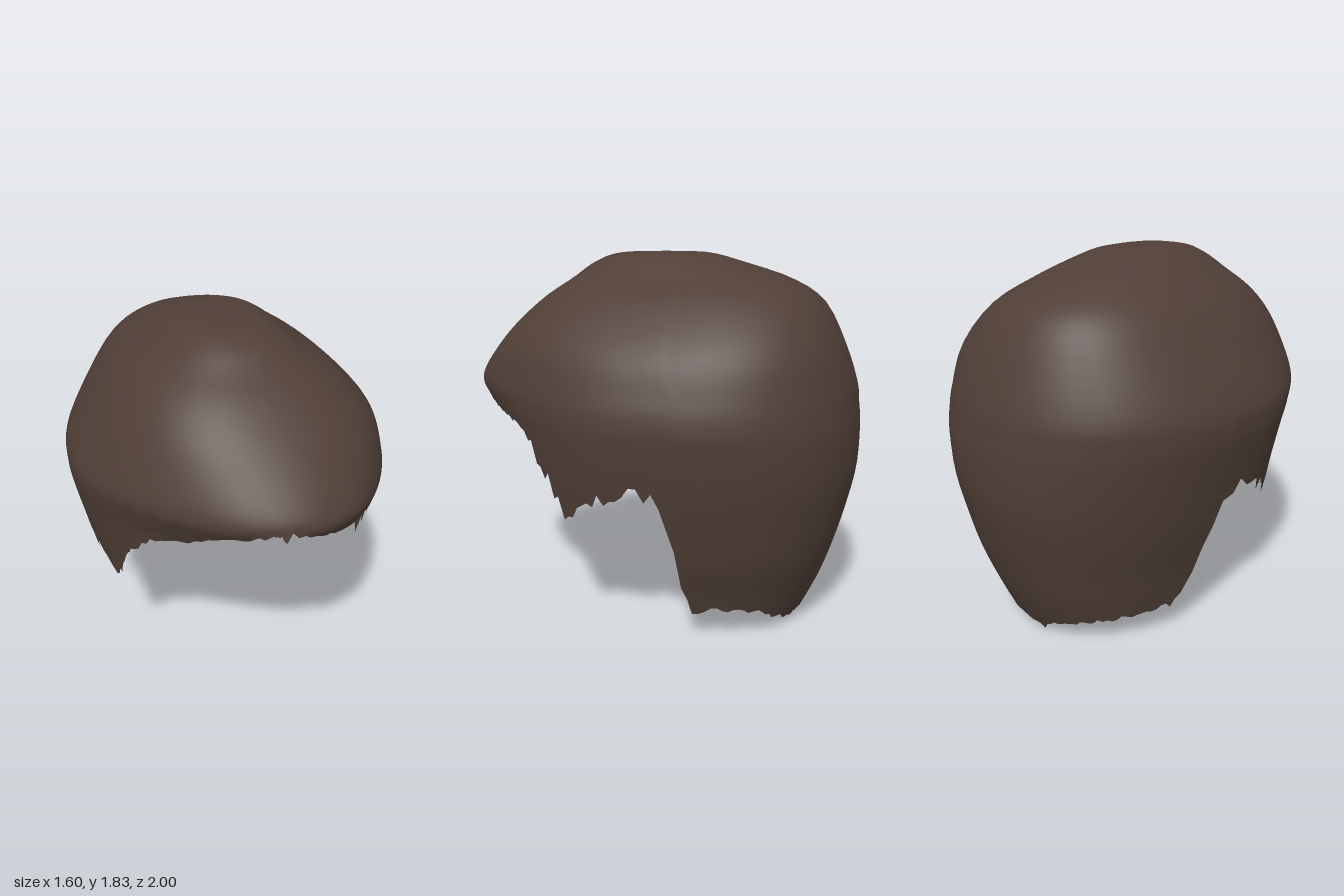
import * as THREE from 'three';

// Horizontal cross-sections from crown to nape: [y, front z, back z, right x, left x]
const SECTIONS = [
  [1.842, 0, 0, -0.05, -0.05],
  [1.835, 0.25, -0.2, -0.21, 0.13],
  [1.79, 0.38, -0.38, -0.3, 0.23],
  [1.71, 0.49, -0.63, -0.41, 0.34],
  [1.6, 0.64, -0.8, -0.54, 0.5],
  [1.4, 0.85, -0.91, -0.68, 0.69],
  [1.21, 1.0, -0.975, -0.785, 0.77],
  [1.1, 0.95, -0.99, -0.795, 0.795],
  [1.0, 0.89, -1.0, -0.78, 0.795],
  [0.8, 0.87, -0.995, -0.735, 0.765],
  [0.6, 0.88, -0.955, -0.69, 0.72],
  [0.4, 0.88, -0.9, -0.63, 0.67],
  [0.2, 0.88, -0.83, -0.58, 0.59],
  [0, 0.88, -0.735, -0.53, 0.54],
];

// Height of the cut edge by angle in degrees (0 = front, positive = left)
const SIDE = [[62, 0.82], [71, 0.61], [80, 0.68], [88, 0.75], [98, 0.78], [103, 0.72],
  [105, 0.55], [107, 0.36], [112, 0.18]];
const EDGE_LEFT = [[0, 1.15], [6, 1.12], [20, 1.1], [35, 1.07], [50, 1.02], ...SIDE,
  [137, 0.14], [145, 0.08], [160, 0.05], [172, 0.05], [180, 0.02]];
const EDGE_RIGHT = [[0, 1.15], [5, 1.18], [15, 1.16], [28, 1.1], [36, 1.04], [50, 0.98], ...SIDE,
  [137, 0.15], [150, 0.13], [165, 0.1], [172, 0.07], [176, 0.02], [180, 0.02]];

const COLUMNS = 180;
const ROWS = 40;

function lerpTable(table, x) {
  let i = 1;
  while (i < table.length - 1 && table[i][0] < x) i++;
  const [x0, y0] = table[i - 1], [x1, y1] = table[i];
  return y0 + (y1 - y0) * (x - x0) / (x1 - x0);
}

// Catmull-Rom blend of neighbouring sections
function sectionAt(s) {
  const i = Math.min(Math.floor(s), SECTIONS.length - 2), t = s - i;
  const at = k => SECTIONS[Math.max(0, Math.min(SECTIONS.length - 1, k))];
  const [a, b, c, d] = [at(i - 1), at(i), at(i + 1), at(i + 2)];
  return b.map((v, k) => v + 0.5 * t * (c[k] - a[k]
    + t * (2 * a[k] - 5 * v + 4 * c[k] - d[k] + t * (3 * (v - c[k]) + d[k] - a[k]))));
}

// Section index at a given height
function indexAtHeight(y) {
  let lo = 0, hi = SECTIONS.length - 1;
  for (let n = 0; n < 30; n++) {
    const mid = (lo + hi) / 2;
    if (sectionAt(mid)[0] > y) lo = mid; else hi = mid;
  }
  return lo;
}

function surfacePoint(s, deg) {
  const a = deg * Math.PI / 180, sin = Math.sin(a), cos = Math.cos(a);
  const [y, front, back, right, left] = sectionAt(s);
  // diagonal fullness: narrow brow, broad crown, fuller back on the left
  const high = THREE.MathUtils.smoothstep(y, 1.15, 1.6);
  const fullness = cos > 0 ? -0.05 + 0.11 * high : (sin > 0 ? 0.05 : 0.015) + 0.03 * high;
  const f = 1 + fullness * Math.sin(2 * a) ** 2;
  const lean = 0.06 * Math.max(0, cos) ** 2 * Math.min(1, s / 6);
  return [(left + right) / 2 + (left - right) / 2 * sin * f + lean, y,
    (cos > 0 ? front : -back) * cos * f];
}

export function createModel() {
  const group = new THREE.Group();
  group.name = 'hair';
  const brown = new THREE.MeshStandardMaterial({ color: 0x503f37, side: THREE.DoubleSide });
  brown.name = 'dark brown hair';

  let seed = 7;
  const random = () => (seed = (seed * 16807) % 2147483647) / 2147483647;

  const positions = [], index = [];
  for (let j = 0; j < COLUMNS; j++) {
    const deg = -180 + j * 360 / COLUMNS, side = Math.abs(deg);
    const edge = lerpTable(deg < 0 ? EDGE_RIGHT : EDGE_LEFT, side);
    // ragged strand tips, longest around the ears
    const rag = side > 55 && side < 118 ? 0.09 : 0.03;
    const smoothEnd = indexAtHeight(edge + rag * 0.5);
    const tip = indexAtHeight(Math.max(0, edge + rag * (0.5 - random())));
    for (let i = 0; i <= ROWS; i++) {
      const s = i < ROWS ? smoothEnd * i / ROWS : Math.max(tip, smoothEnd * (1 - 0.5 / ROWS));
      positions.push(...surfacePoint(s, deg));
    }
  }
  for (let j = 0; j < COLUMNS; j++) {
    const p = j * (ROWS + 1), q = ((j + 1) % COLUMNS) * (ROWS + 1);
    for (let i = 0; i < ROWS; i++) {
      index.push(p + i + 1, q + i + 1, q + i);
      if (i > 0) index.push(p + i, p + i + 1, q + i);
    }
  }

  const geometry = new THREE.BufferGeometry();
  geometry.setAttribute('position', new THREE.Float32BufferAttribute(positions, 3));
  geometry.setIndex(index);
  geometry.computeVertexNormals();
  // one shared normal at the crown
  for (let j = 0; j < COLUMNS; j++) geometry.attributes.normal.setXYZ(j * (ROWS + 1), 0, 1, 0);

  const shell = new THREE.Mesh(geometry, brown);
  shell.name = 'hairShell';
  group.add(shell);
  return group;
}
